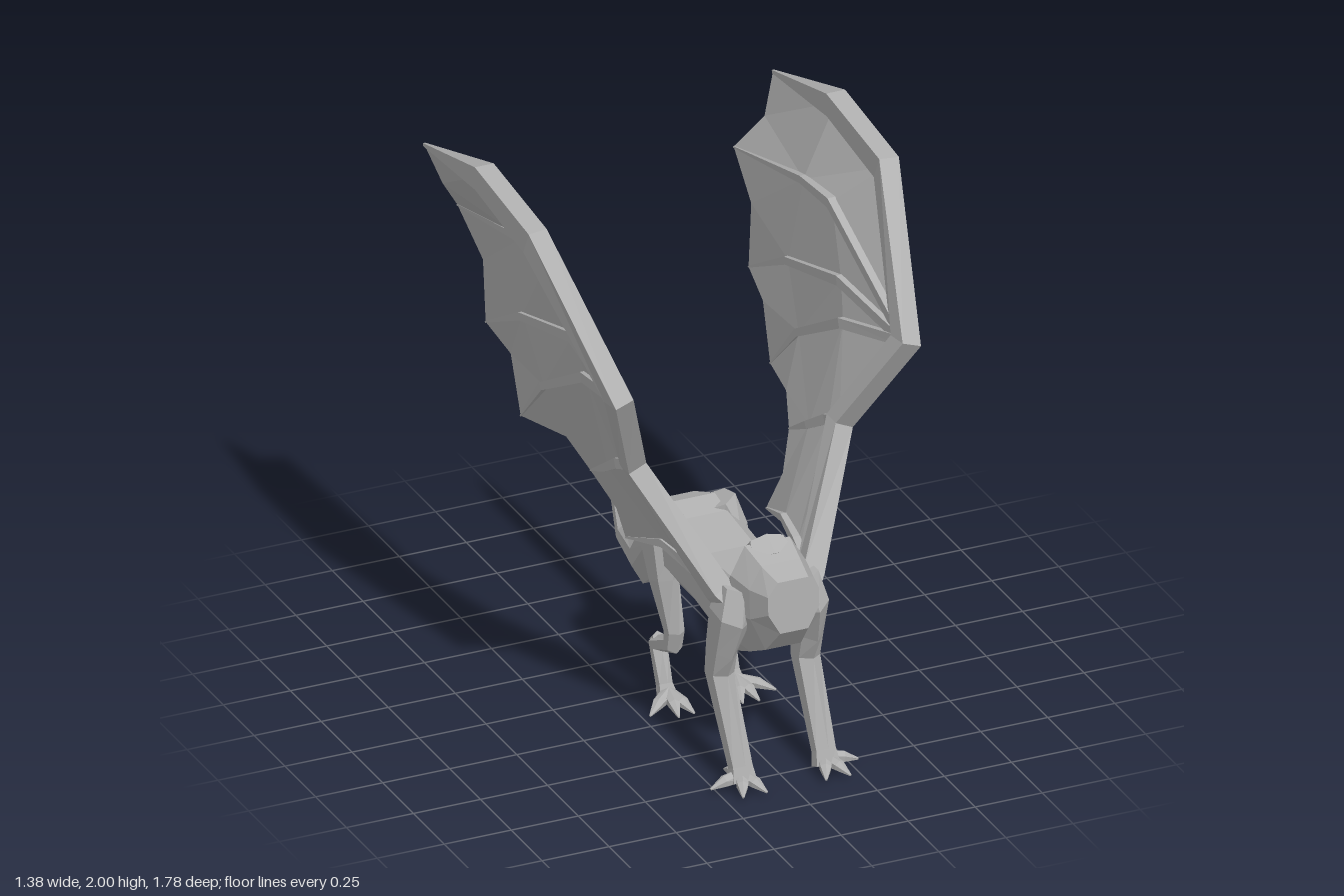
import * as THREE from 'three';

const V = (x, y, z) => new THREE.Vector3(x, y, z);
const hide = new THREE.MeshStandardMaterial({ color: 0xb0b0b0, flatShading: true, side: THREE.DoubleSide });
hide.name = 'grey hide';

function meshFromTriangles(name, tris) {
  const g = new THREE.BufferGeometry().setFromPoints(tris.flat());
  g.computeVertexNormals();
  const m = new THREE.Mesh(g, hide);
  m.name = name;
  return m;
}

// Closed skin over a series of rings, turned outward whatever the mirroring
function loft(name, rings) {
  const n = rings[0].length, tris = [];
  for (let i = 0; i + 1 < rings.length; i++) {
    for (let j = 0; j < n; j++) {
      const k = (j + 1) % n, a = rings[i], b = rings[i + 1];
      tris.push([a[j], a[k], b[k]], [a[j], b[k], b[j]]);
    }
  }
  const last = rings[rings.length - 1];
  for (let j = 1; j + 1 < n; j++) {
    tris.push([rings[0][0], rings[0][j + 1], rings[0][j]], [last[0], last[j], last[j + 1]]);
  }
  let volume = 0;
  for (const [a, b, c] of tris) volume += a.dot(b.clone().cross(c));
  return meshFromTriangles(name, volume < 0 ? tris.map(([a, b, c]) => [a, c, b]) : tris);
}

// Limb through points [x, y, z, half width sideways, half depth]
function limb(name, pts, s = 1, sides = 6) {
  const p = pts.map(q => V(q[0] * s, q[1], q[2]));
  const rings = pts.map((q, i) => {
    const dir = (a, b) => p[b].clone().sub(p[a]).normalize();
    const t = V(0, 0, 0);
    if (i > 0) t.add(dir(i - 1, i));
    if (i + 1 < p.length) t.add(dir(i, i + 1));
    t.normalize();
    const u = V(s, 0, 0).addScaledVector(t, -s * t.x).normalize();
    const v = t.clone().cross(u);
    return Array.from({ length: sides }, (_, j) => {
      const a = (j + 0.5) / sides * Math.PI * 2;
      return p[i].clone().addScaledVector(u, Math.cos(a) * q[3]).addScaledVector(v, Math.sin(a) * q[4]);
    });
  });
  return loft(name, rings);
}

// Trunk and tail sections: [top z, top y, bottom z, bottom y, half width]
const trunk = [
  [0.86, 0.78, 0.87, 0.59, 0.095],
  [0.76, 0.80, 0.78, 0.49, 0.12],
  [0.65, 0.83, 0.68, 0.44, 0.14],
  [0.57, 0.67, 0.55, 0.385, 0.15],
  [0.35, 0.66, 0.35, 0.435, 0.15],
  [0.12, 0.68, 0.14, 0.44, 0.155],
  [0.02, 0.70, 0.00, 0.44, 0.155],
  [-0.10, 0.655, -0.06, 0.405, 0.12],
  [-0.30, 0.42, -0.265, 0.25, 0.08],
  [-0.455, 0.385, -0.50, 0.29, 0.045],
  [-0.59, 0.67, -0.63, 0.63, 0.035],
  [-0.705, 0.87, -0.755, 0.835, 0.028],
  [-0.885, 0.925, -0.885, 0.92, 0.003],
];

function trunkRing([tz, ty, bz, by, w]) {
  const outline = [[0.6, 0], [1, 0.25], [1, 0.6], [0.55, 1], [-0.55, 1], [-1, 0.6], [-1, 0.25], [-0.6, 0]];
  return outline.map(([x, f]) => V(x * w, ty + (by - ty) * f, tz + (bz - tz) * f));
}

// Claws fan out from a foot centre
function claws(name, from, tips, s) {
  const g = new THREE.Group();
  g.name = name;
  for (const [x, y, z] of tips) {
    const mid = from.map((c, i) => c + ([x, y, z][i] - c) * 0.55);
    g.add(limb('claw', [[...from, 0.026, 0.024], [mid[0], 0.026, mid[2], 0.022, 0.02], [x, y, z, 0.004, 0.004]], s));
  }
  return g;
}

function frontLeg(s) {
  const g = new THREE.Group();
  g.name = 'frontLeg';
  g.add(
    limb('frontLimb', [
      [0.12, 0.69, 0.66, 0.06, 0.07], [0.145, 0.59, 0.665, 0.065, 0.10], [0.16, 0.46, 0.63, 0.046, 0.085],
      [0.16, 0.35, 0.61, 0.046, 0.07], [0.155, 0.06, 0.77, 0.042, 0.045], [0.155, 0.012, 0.79, 0.05, 0.05]], s),
    limb('elbowSpur', [[0.16, 0.38, 0.60, 0.03, 0.04], [0.16, 0.335, 0.505, 0.004, 0.004]], s),
    claws('frontClaws', [0.155, 0.032, 0.78],
      [[0.20, 0.008, 0.892], [0.11, 0.008, 0.89], [0.275, 0.008, 0.79], [0.17, 0.008, 0.67]], s));
  return g;
}

function backLeg(s) {
  const g = new THREE.Group();
  g.name = 'backLeg';
  g.add(
    limb('backLimb', [
      [0.09, 0.68, 0.03, 0.07, 0.09], [0.125, 0.58, 0.055, 0.06, 0.115], [0.135, 0.46, 0.105, 0.045, 0.08],
      [0.125, 0.29, 0.165, 0.034, 0.045], [0.125, 0.235, 0.155, 0.032, 0.04], [0.125, 0.18, 0.035, 0.032, 0.038],
      [0.125, 0.05, 0.085, 0.028, 0.035], [0.125, 0.012, 0.11, 0.036, 0.04]], s),
    limb('hockSpur', [[0.125, 0.2, 0.04, 0.022, 0.028], [0.125, 0.17, -0.025, 0.004, 0.004]], s),
    claws('backClaws', [0.125, 0.03, 0.12],
      [[0.09, 0.008, 0.255], [0.15, 0.008, 0.26], [0.235, 0.008, 0.21]], s));
  return g;
}

// Wing joints and finger lines; a notch lies between each pair of neighbours
const shoulder = [0.17, 0.67, 0.63], elbow = [0.385, 1.09, 0.40], wrist = [0.535, 1.46, 0.61];
const fingers = [
  [wrist, [0.655, 1.90, 0.19], [0.655, 1.955, -0.22], [0.65, 1.84, -0.72]],
  [wrist, [0.53, 1.715, 0.02], [0.525, 1.70, -0.20], [0.515, 1.57, -0.745]],
  [wrist, [0.50, 1.49, 0.16], [0.495, 1.37, -0.26], [0.49, 1.20, -0.57]],
  [wrist, [0.48, 1.36, 0.22], [0.475, 1.16, -0.13], [0.465, 0.945, -0.34]],
  [elbow, [0.39, 1.05, 0.30], [0.375, 0.97, 0.17], [0.37, 0.885, 0.02]],
  [shoulder, [0.20, 0.70, 0.46], [0.225, 0.71, 0.30], [0.262, 0.63, 0.07]],
];
const notches = [[0.60, 1.70, -0.68], [0.50, 1.44, -0.57], [0.47, 1.15, -0.41], [0.41, 0.97, -0.09], [0.31, 0.765, 0.10]];

function wing(s) {
  const g = new THREE.Group();
  g.name = 'wing';
  // Heavy leading edge
  g.add(limb('wingArm', [
    [0.11, 0.60, 0.68, 0.06, 0.07], [...shoulder, 0.055, 0.055], [...elbow, 0.05, 0.052],
    [...wrist, 0.05, 0.07], [...fingers[0][1], 0.05, 0.07], [0.655, 1.952, -0.22, 0.05, 0.06],
    [...fingers[0][3], 0.006, 0.008]], s, 4));
  // Thin ribs
  fingers.slice(1).forEach(f => g.add(limb('wingRib',
    f.map((p, i) => [...p, [0.026, 0.026, 0.02, 0.004][i], [0.026, 0.026, 0.02, 0.004][i]]), s, 4)));
  // Skin stretched between neighbouring fingers
  const P = p => V(p[0] * s, p[1], p[2]);
  const tris = [];
  notches.forEach((notch, i) => {
    const a = fingers[i].map(P), b = fingers[i + 1].map(P), n = P(notch);
    for (let k = 0; k < 2; k++) {
      if (!a[k].equals(b[k])) tris.push([a[k], b[k], b[k + 1]]);
      tris.push([a[k], b[k + 1], a[k + 1]]);
    }
    tris.push([a[2], n, a[3]], [a[2], b[2], n], [b[2], b[3], n]);
  });
  // Skin in the crook of the elbow
  tris.push([P(wrist), P(elbow), P(fingers[3][1])]);
  g.add(meshFromTriangles('wingSkin', s > 0 ? tris : tris.map(([a, b, c]) => [a, c, b])));
  return g;
}

export function createModel() {
  const model = new THREE.Group();
  model.name = 'wingedBeast';
  model.add(loft('trunkAndTail', trunk.map(trunkRing)));
  // Crest at the base of the neck
  model.add(limb('neckCrest', [[0, 0.79, 0.70, 0.09, 0.03], [0, 0.825, 0.645, 0.07, 0.03], [0, 0.79, 0.60, 0.06, 0.02]]));
  for (const s of [1, -1]) {
    for (const [name, part] of [['FrontLeg', frontLeg], ['BackLeg', backLeg], ['Wing', wing]]) {
      const g = part(s);
      g.name = (s > 0 ? 'left' : 'right') + name;
      model.add(g);
    }
  }
  return model;
}
